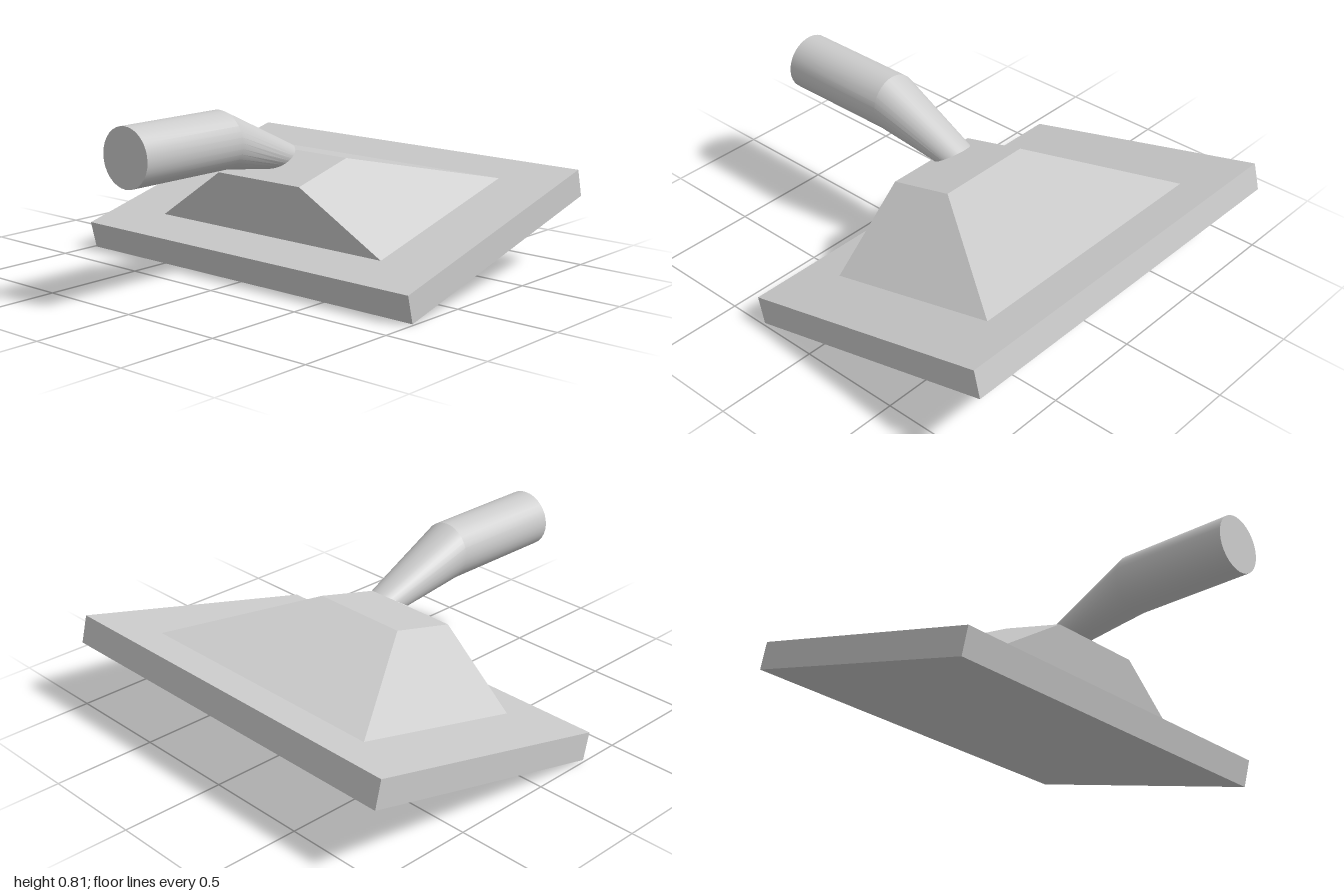
import * as THREE from 'three';
import { toCreasedNormals } from 'three/addons/utils/BufferGeometryUtils.js';

const material = new THREE.MeshStandardMaterial({ color: 0xcccccc });

function addMesh(group, name, geometry) {
  const mesh = new THREE.Mesh(geometry, material);
  mesh.name = name;
  group.add(mesh);
  return mesh;
}

// Moves every vertex of a geometry by a rule
function reshape(geometry, rule) {
  const pos = geometry.attributes.position;
  const v = new THREE.Vector3();
  for (let i = 0; i < pos.count; i++) {
    v.fromBufferAttribute(pos, i);
    pos.setXYZ(i, ...rule(v));
  }
  geometry.computeVertexNormals();
  return geometry;
}

export function createModel() {
  const group = new THREE.Group();

  // Tilted rectangular base plate, higher at the back
  const plate = addMesh(group, 'basePlate', new THREE.BoxGeometry(1.976, 0.135, 1.347));
  plate.position.set(0, 0.2375, -0.33);
  plate.rotation.x = Math.atan2(0.335, 1.305);

  // Wedge-sided block on the plate: half width and front/back [z, y] per level
  const bottom = { half: 0.68, front: [0.13, 0.187], back: [-0.765, 0.418] };
  const top = { half: 0.25, front: [0.185, 0.465], back: [-0.145, 0.55] };
  addMesh(group, 'taperedBlock', reshape(new THREE.BoxGeometry(2, 2, 2), (v) => {
    const level = v.y > 0 ? top : bottom;
    const [z, y] = v.z > 0 ? level.front : level.back;
    return [Math.sign(v.x) * level.half, y, z];
  }));

  // Round handle with a bent, tapering neck: radius and upper/lower [z, y] of each ring
  const rings = [
    { r: 0.136, hi: [1, 0.819], lo: [1, 0.548] },
    { r: 0.136, hi: [0.433, 0.819], lo: [0.417, 0.548] },
    { r: 0.09, hi: [-0.022, 0.608], lo: [0.13, 0.508] },
  ];
  const tube = reshape(new THREE.CylinderGeometry(1, 1, 2, 32, 2), (v) => {
    const { r, hi, lo } = rings[Math.round(v.y) + 1];
    const t = (1 + v.z) / 2;
    return [v.x * r, lo[1] + (hi[1] - lo[1]) * t, lo[0] + (hi[0] - lo[0]) * t];
  });
  addMesh(group, 'handle', toCreasedNormals(tube, 0.3));

  return group;
}
